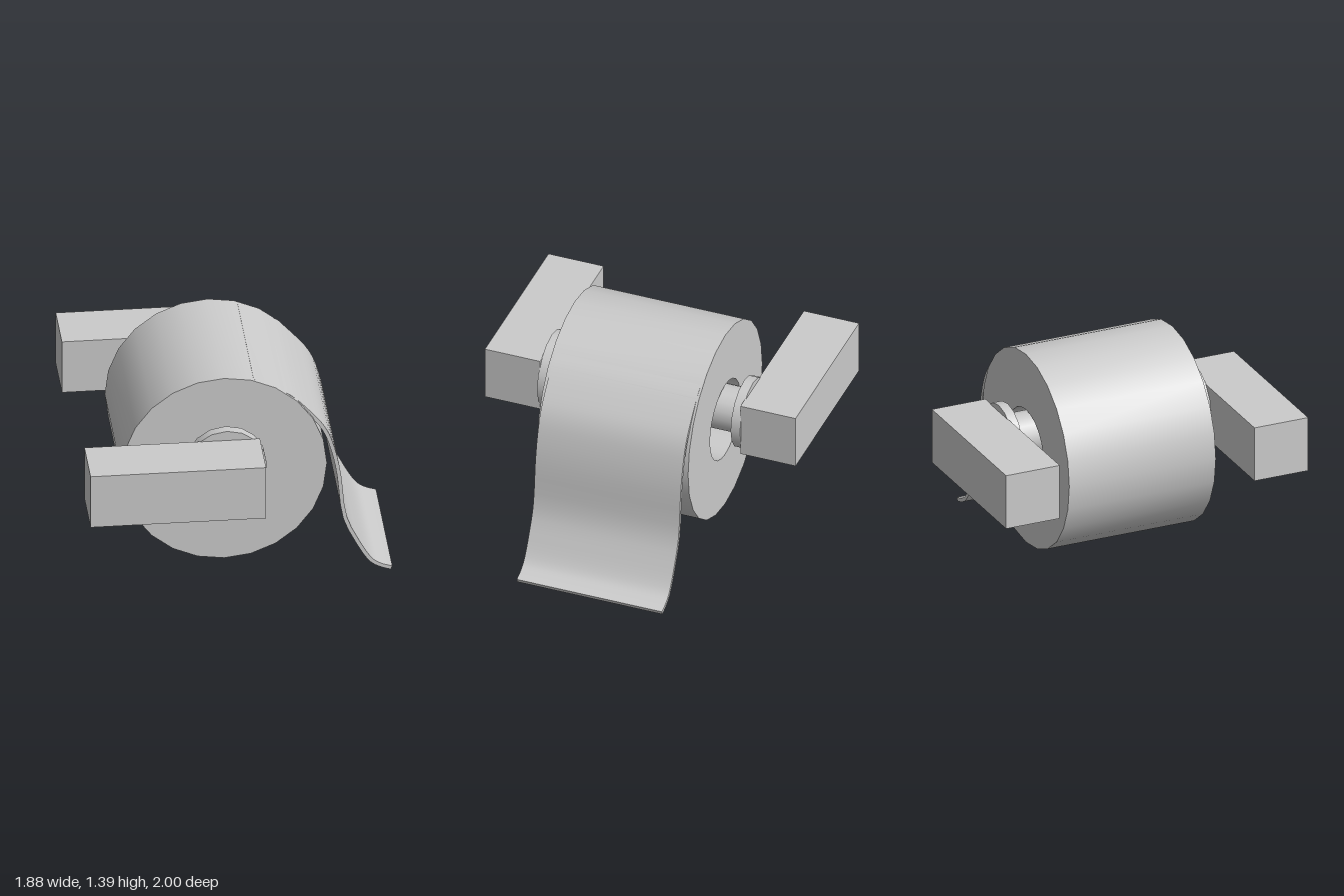
import * as THREE from 'three';
import { toCreasedNormals } from 'three/addons/utils/BufferGeometryUtils.js';

const AXIS_X = -0.08;
const material = new THREE.MeshStandardMaterial({ color: 0xcccccc });

export function createModel() {
  const model = new THREE.Group();

  const add = (name, geometry, x = 0, y = 0, z = 0) => {
    const mesh = new THREE.Mesh(geometry, material);
    mesh.name = name;
    mesh.position.set(x, y, z);
    model.add(mesh);
  };

  // Cylinder lying along z between z0 and z1
  const rod = (name, radius, z0, z1) => {
    const geometry = new THREE.CylinderGeometry(radius, radius, z1 - z0, 16).rotateX(Math.PI / 2);
    add(name, geometry, AXIS_X, 0.865, (z0 + z1) / 2);
  };

  // Paper roll: a thick tube hanging on the spindle
  const [inner, outer, back, front] = [0.255, 0.62, -0.47, 0.5];
  const ring = [[inner, front], [inner, back], [outer, back], [outer, front], [inner, front]]
    .map(([r, z]) => new THREE.Vector2(r, z));
  const roll = new THREE.LatheGeometry(ring, 24).rotateX(Math.PI / 2);
  add('paperRoll', toCreasedNormals(roll, 0.6), AXIS_X, 0.77, 0);

  // Loose sheet: a thin strip following a curve off the top of the roll
  const curve = new THREE.SplineCurve([
    [0.1, 1.362], [0.31, 1.25], [0.46, 1.1], [0.543, 0.985], [0.593, 0.844], [0.628, 0.668],
    [0.66, 0.39], [0.74, 0.206], [0.81, 0.09], [0.87, 0.045], [0.937, 0.023],
  ].map(([x, y]) => new THREE.Vector2(x, y)));
  const top = [], bottom = [];
  for (let i = 0; i <= 28; i++) {
    const p = curve.getPoint(i / 28), t = curve.getTangent(i / 28);
    top.push(p);
    bottom.unshift(new THREE.Vector2(p.x + t.y * 0.024, p.y - t.x * 0.024));
  }
  const sheet = new THREE.ExtrudeGeometry(new THREE.Shape([...top, ...bottom]), {
    depth: 0.935, bevelEnabled: false,
  });
  add('looseSheet', toCreasedNormals(sheet, 0.6), 0, 0, -0.455);

  // Spindle with a flange at each end
  rod('spindle', 0.142, -0.62, 0.62);
  rod('frontFlange', 0.243, 0.585, 0.648);
  rod('backFlange', 0.222, -0.65, -0.59);

  // Square arms reaching back to the wall
  for (const [name, z] of [['frontArm', 0.8225], ['backArm', -0.8225]]) {
    add(name, new THREE.BoxGeometry(1.06, 0.35, 0.355), -0.41, 0.87, z);
  }

  return model;
}
